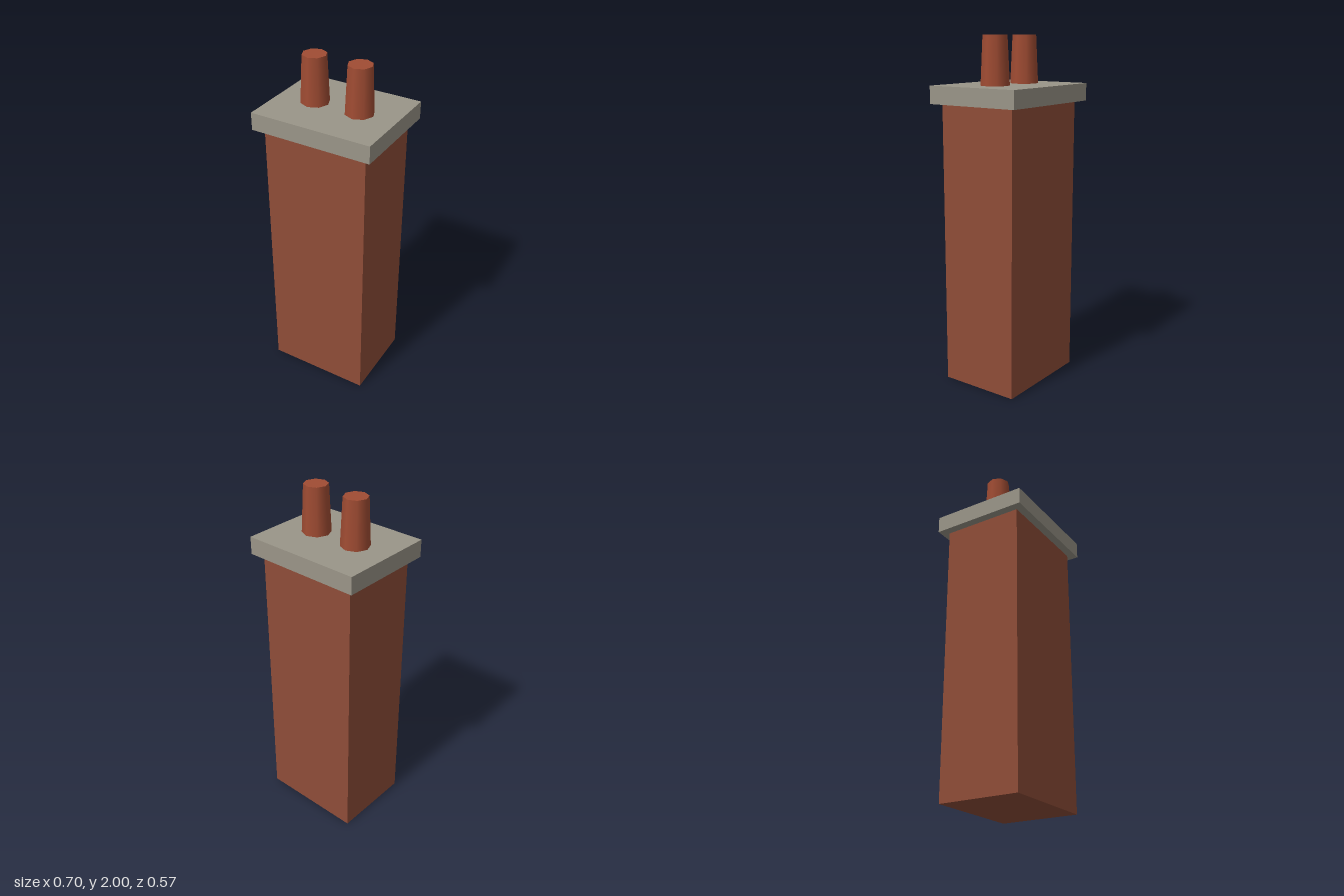
import * as THREE from 'three';

const BRICK = 0x8f4d38, STONE = 0x9a9588, CLAY = 0xa04c33;

function addPart(parent, name, geometry, color, x, y, z) {
  const mesh = new THREE.Mesh(geometry, new THREE.MeshStandardMaterial({ color }));
  mesh.name = name;
  mesh.position.set(x, y, z);
  parent.add(mesh);
}

export function createModel() {
  const model = new THREE.Group();
  model.name = 'chimney';

  const stackHeight = 1.63, capHeight = 0.1, potHeight = 0.27;
  const capTop = stackHeight + capHeight;

  // Brick stack
  addPart(model, 'stack', new THREE.BoxGeometry(0.61, stackHeight, 0.475), BRICK, 0, stackHeight / 2, 0);

  // Overhanging stone slab
  addPart(model, 'capSlab', new THREE.BoxGeometry(0.705, capHeight, 0.57), STONE, 0, stackHeight + capHeight / 2, 0);

  // Pair of tapered eight-sided clay pots
  for (const side of [-1, 1]) {
    const pot = new THREE.CylinderGeometry(0.068, 0.081, potHeight, 8);
    addPart(model, side > 0 ? 'leftPot' : 'rightPot', pot, CLAY, side * 0.136, capTop + potHeight / 2, 0);
  }

  return model;
}
